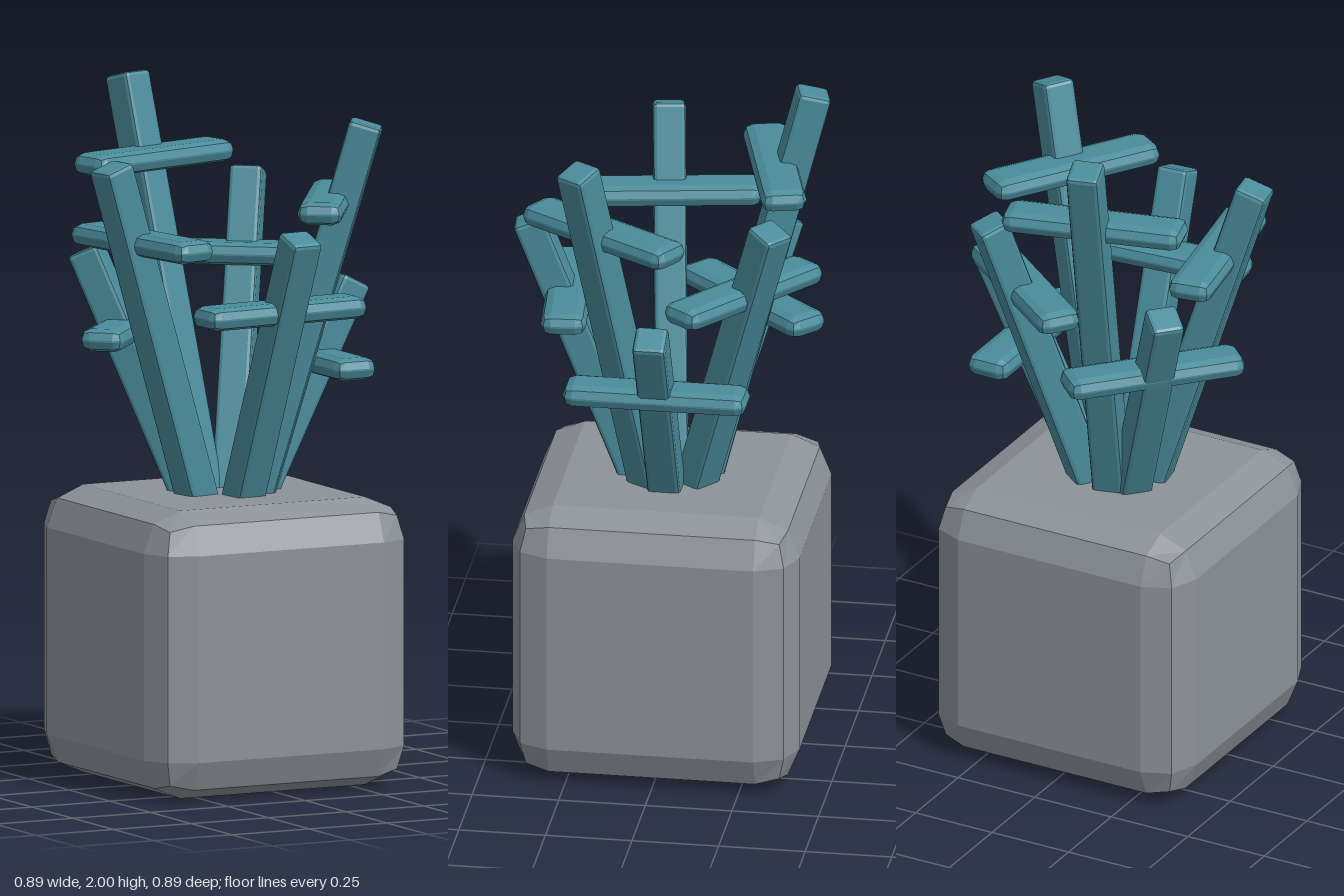
import * as THREE from 'three';
import { RoundedBoxGeometry } from 'three/addons/geometries/RoundedBoxGeometry.js';

export function createModel() {
  const model = new THREE.Group();
  model.name = 'pottedPlant';
  const potMaterial = new THREE.MeshStandardMaterial({ color: 0x8d9299, flatShading: true });
  const plantMaterial = new THREE.MeshStandardMaterial({ color: 0x4a8c9b, flatShading: true });

  const addBox = (parent, name, size, radius, material) => {
    const mesh = new THREE.Mesh(new RoundedBoxGeometry(...size, 1, radius), material);
    mesh.name = name;
    parent.add(mesh);
    return mesh;
  };

  // Solid pot with chamfered edges
  addBox(model, 'pot', [0.83, 0.83, 0.83], 0.117, potMaterial).position.y = 0.415;

  // Seven leaning stems in a spiral, each taller than the last and crossed by one leaf
  for (let i = 0; i < 7; i++) {
    const branch = new THREE.Group();
    branch.name = `branch${i + 1}`;
    branch.rotation.y = THREE.MathUtils.degToRad(137.5 * i);
    model.add(branch);

    const base = new THREE.Vector2(0.085, 0.78);
    const tip = new THREE.Vector2(0.408, 1.415 + 0.096 * i);
    const lean = tip.clone().sub(base);
    const stem = addBox(branch, 'stem', [0.095, lean.length(), 0.095], 0.012, plantMaterial);
    stem.position.set((base.x + tip.x) / 2, (base.y + tip.y) / 2, 0);
    stem.rotation.z = -Math.atan2(lean.x, lean.y);

    // Flat leaf laid level across the stem
    const leaf = addBox(branch, 'crossLeaf', [0.13, 0.065, 0.53], 0.03, plantMaterial);
    leaf.position.set(0.295, 1.19 + 0.095 * i, 0);
  }
  return model;
}
